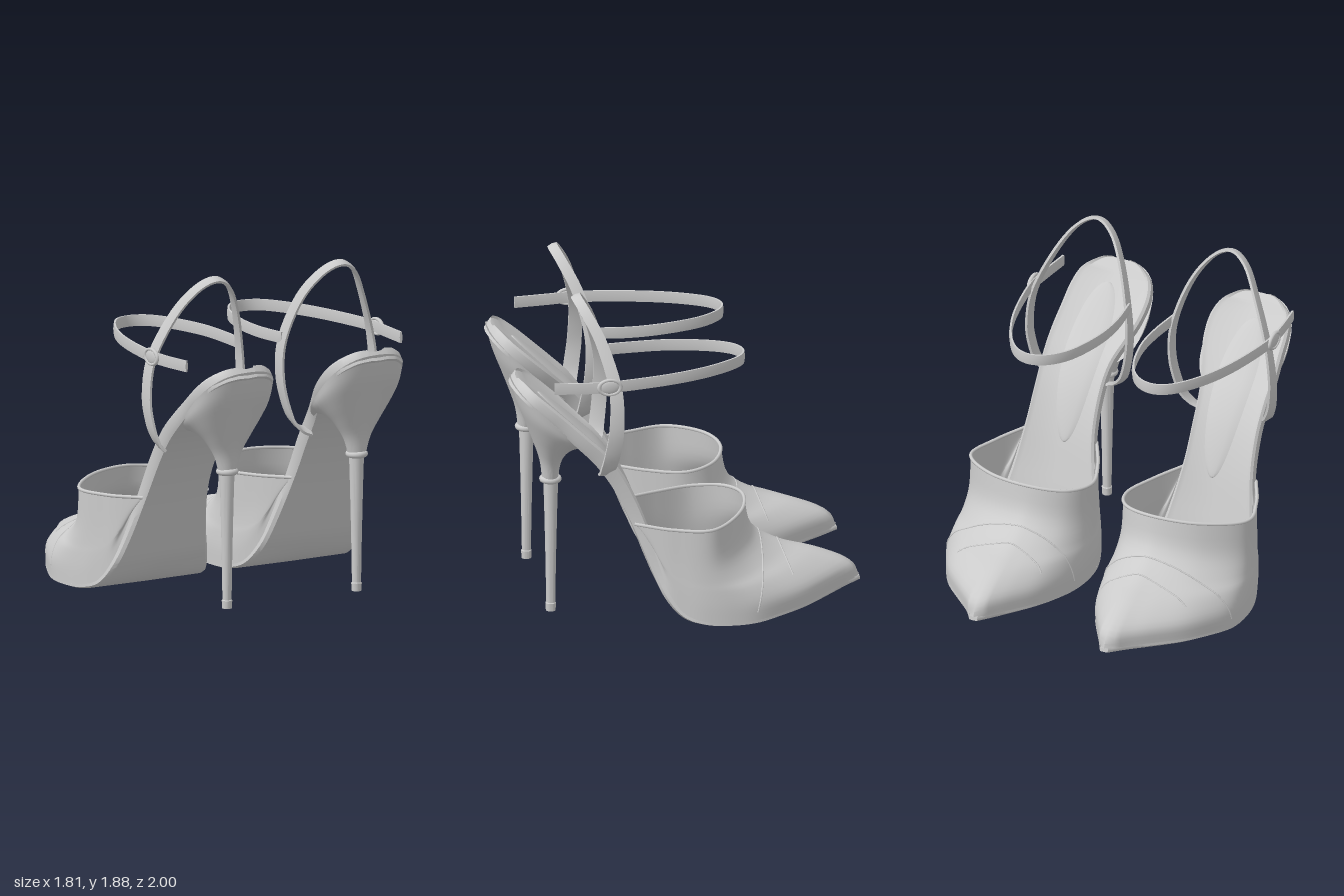
import * as THREE from 'three';
import { toCreasedNormals } from 'three/addons/utils/BufferGeometryUtils.js';

const V = (x, y, z) => new THREE.Vector3(x, y, z);
const mat = new THREE.MeshStandardMaterial({ color: 0xcccccc, side: THREE.DoubleSide });
const spline = pts => new THREE.CatmullRomCurve3(pts.map(p => V(...p)), false, 'catmullrom', 0.5);
const lerp = THREE.MathUtils.lerp;

function part(name, geo, parent) {
  const m = new THREE.Mesh(geo, mat);
  m.name = name;
  parent.add(m);
  return m;
}

// Skin a list of cross-sections; closed rings are capped at both ends
function loft(rings, closed = true, crease = 0.7) {
  const n = rings[0].length, pos = [], idx = [];
  rings.forEach(r => r.forEach(p => pos.push(p.x, p.y, p.z)));
  for (let i = 0; i < rings.length - 1; i++)
    for (let j = 0; j < (closed ? n : n - 1); j++) {
      const a = i * n + j, b = i * n + (j + 1) % n;
      idx.push(a, b, a + n, b, b + n, a + n);
    }
  if (closed) {
    const e = (rings.length - 1) * n;
    for (let j = 1; j < n - 1; j++) idx.push(0, j + 1, j, e, e + j, e + j + 1);
  }
  const g = new THREE.BufferGeometry();
  g.setAttribute('position', new THREE.Float32BufferAttribute(pos, 3));
  g.setIndex(idx);
  return toCreasedNormals(g, crease);
}

// Sole stations, toe to heel: z, underside y, inner x, outer x, thickness
const stations = [
  [-1, 0.085, 0.385, 0.435, 0.025], [-0.9, 0.07, 0.33, 0.505, 0.028], [-0.8, 0.06, 0.27, 0.6, 0.03],
  [-0.65, 0.045, 0.185, 0.735, 0.03], [-0.5, 0.03, 0.13, 0.825, 0.03], [-0.35, 0.015, 0.095, 0.89, 0.03],
  [-0.2, 0.01, 0.08, 0.905, 0.03], [-0.05, 0.018, 0.09, 0.89, 0.03], [0.08, 0.06, 0.13, 0.85, 0.035],
  [0.18, 0.18, 0.18, 0.81, 0.045], [0.25, 0.35, 0.23, 0.76, 0.06], [0.35, 0.6, 0.28, 0.715, 0.08],
  [0.45, 0.8, 0.29, 0.7, 0.09], [0.55, 0.945, 0.28, 0.7, 0.09], [0.65, 1.05, 0.24, 0.7, 0.085],
  [0.75, 1.15, 0.2, 0.69, 0.08], [0.85, 1.24, 0.19, 0.68, 0.08], [0.93, 1.31, 0.22, 0.65, 0.078],
  [0.98, 1.355, 0.29, 0.58, 0.075], [1, 1.37, 0.38, 0.5, 0.07]];
const inner = spline(stations.map(s => [s[2], s[1], s[0]]));
const outer = spline(stations.map(s => [s[3], s[1], s[0]]));
const thick = spline(stations.map(s => [s[4], 0, 0]));

function soleAtT(t) {
  const l = inner.getPoint(t), r = outer.getPoint(t);
  const a = inner.getPoint(Math.max(0, t - 0.01)), b = inner.getPoint(Math.min(1, t + 0.01));
  const up = V(0, b.z - a.z, a.y - b.y).normalize();
  return { l, r, up, th: thick.getPoint(t).x };
}
function soleAtZ(z) {
  let lo = 0, hi = 1;
  for (let i = 0; i < 24; i++) {
    const m = (lo + hi) / 2;
    if (inner.getPoint(m).z < z) lo = m; else hi = m;
  }
  return soleAtT((lo + hi) / 2);
}
// Point on the sole: f across, h through the thickness
const onSole = (s, f, h) => s.l.clone().lerp(s.r, f).addScaledVector(s.up, s.th * h);

// Upper: horseshoe from the sole edge (s = 0) to the collar (s = 1), rounding off the toe as it rises
const collar = spline([[0.285, 0.59, 0.33], [0.175, 0.58, 0.12], [0.11, 0.58, -0.09], [0.19, 0.6, -0.26],
  [0.4, 0.62, -0.335], [0.66, 0.61, -0.28], [0.865, 0.585, -0.1], [0.82, 0.58, 0.12], [0.715, 0.59, 0.33]]);
const rise = spline([[0, 0, 0], [0.01, 0.18, 0], [0.265, 0.34, 0], [0.58, 0.45, 0], [0.9, 0.66, 0], [1, 1, 0]]);
const zAlong = a => -1 + 1.7 * a - 0.37 * a * a;
function upperPoint(u, s) {
  const a = Math.abs(2 * u - 1);
  const base = onSole(soleAtZ(zAlong(a)), u < 0.5 ? 0 : u > 0.5 ? 1 : 0.5, 0.8);
  base.z += zAlong(Math.hypot(a, 0.15 * s)) - zAlong(a);
  const top = collar.getPoint(u), k = rise.getPoint(s);
  return V(lerp(base.x, top.x, k.x), lerp(base.y, top.y, k.y), lerp(base.z, top.z, k.x));
}
// Seam where the upper meets a tilted plane across the toe
function seam(z0, tilt) {
  const pts = [], ahead = p => p.z - z0 - tilt * (p.y - 0.35) < 0;
  for (let i = 0; i <= 240; i++) {
    const u = i / 240;
    if (!ahead(upperPoint(u, 0))) continue;
    let lo = 0, hi = 1;
    for (let k = 0; k < 14; k++) {
      const m = (lo + hi) / 2;
      if (ahead(upperPoint(u, m))) lo = m; else hi = m;
    }
    pts.push(upperPoint(u, lo));
  }
  return new THREE.TubeGeometry(new THREE.CatmullRomCurve3(pts), 80, 0.005, 6);
}

// Flat strap swept along a curve, its width facing dir and changing from end to middle
function strap(points, dir, endWidth, midWidth, thickness) {
  const c = spline(points), rings = [];
  for (let i = 0; i <= 72; i++) {
    const p = c.getPoint(i / 72), t = c.getTangent(i / 72);
    const w = dir.clone().addScaledVector(t, -dir.dot(t)).normalize();
    const n = t.clone().cross(w), width = lerp(endWidth, midWidth, Math.sin(Math.PI * i / 72) ** 3);
    rings.push([[-1, -0.6], [0, -1], [1, -0.6], [1, 0.6], [0, 1], [-1, 0.6]].map(([a, b]) =>
      p.clone().addScaledVector(w, a * width / 2).addScaledVector(n, b * thickness / 2)));
  }
  return loft(rings);
}

function makeShoe(name) {
  const shoe = new THREE.Group();
  shoe.name = name;

  // Arched sole with softened edges and a slightly sunken insole
  const section = [[0, 0.3], [0.03, 0], [0.5, -0.05], [0.97, 0], [1, 0.3], [1, 0.85], [0.97, 1],
    [0.92, 0.85], [0.5, 0.78], [0.08, 0.85], [0.03, 1], [0, 0.85]];
  const soleRings = [];
  for (let i = 0; i <= 100; i++) {
    const s = soleAtT(i / 100);
    soleRings.push(section.map(([f, h]) => onSole(s, f, h)));
  }
  part('sole', loft(soleRings, true, 0.6), shoe);

  // Oval cushion on the heel end of the insole
  const padRings = [];
  for (let i = 0; i <= 32; i++) {
    const a = Math.PI * i / 32, s = soleAtZ(0.61 - 0.28 * Math.cos(a));
    const hw = 0.115 * Math.sin(a), ring = [];
    for (let j = 0; j <= 8; j++) {
      const x = 0.465 + hw * (j / 4 - 1), dome = Math.sin(Math.PI * j / 8) * Math.sin(a);
      ring.push(onSole(s, (x - s.l.x) / (s.r.x - s.l.x), 0.82 + 0.16 * Math.sqrt(Math.max(0, dome))));
    }
    padRings.push(ring);
  }
  part('heelPad', loft(padRings, false), shoe);

  // Pointed closed upper with bound collar and seams
  const upper = [];
  for (let i = 0; i <= 20; i++)
    upper.push(Array.from({ length: 101 }, (_, j) => upperPoint(j / 100, i / 20)));
  part('upper', loft(upper, false, 0.9), shoe);
  part('collarBinding', new THREE.TubeGeometry(collar, 80, 0.01, 8), shoe);
  part('toeCapSeam', seam(-0.53, 0.37), shoe);
  part('vampSeam', seam(-0.41, -0.25), shoe);

  // Flared heel block: back z, y; front z, y; half width
  const flare = [[0.995, 1.4, 0.54, 0.96, 0.252], [0.96, 1.26, 0.585, 0.99, 0.238], [0.91, 1.13, 0.64, 0.985, 0.195],
    [0.865, 1.01, 0.69, 0.94, 0.135], [0.83, 0.9, 0.716, 0.87, 0.082], [0.815, 0.78, 0.725, 0.78, 0.05]];
  const back = spline(flare.map(f => [f[4], f[1], f[0]])), front = spline(flare.map(f => [0, f[3], f[2]]));
  const flareRings = [];
  for (let i = 0; i <= 20; i++) {
    const b = back.getPoint(i / 20), f = front.getPoint(i / 20), e = lerp(0.78, 1, i / 20);
    const round = v => Math.sign(v) * Math.abs(v) ** e;
    flareRings.push(Array.from({ length: 40 }, (_, j) => {
      const a = j * Math.PI / 20, k = (1 + round(Math.cos(a))) / 2;
      return V(0.435 + b.x * round(Math.sin(a)), lerp(f.y, b.y, k), lerp(f.z, b.z, k));
    }));
  }
  part('heelBlock', loft(flareRings), shoe);

  // Stiletto shaft with tip and collar ring
  const shaft = [[0, 0], [0.028, 0], [0.03, 0.045], [0.026, 0.05], [0.03, 0.3], [0.037, 0.6], [0.043, 0.8], [0, 0.8]];
  const heel = part('stilettoHeel', toCreasedNormals(
    new THREE.LatheGeometry(shaft.map(p => new THREE.Vector2(...p)), 20), 0.6), shoe);
  heel.position.set(0.435, 0, 0.767);
  const ring = part('heelRing', new THREE.TorusGeometry(0.045, 0.019, 10, 28), shoe);
  ring.rotation.x = Math.PI / 2;
  ring.position.set(0.435, 0.79, 0.769);

  // Slanted loop behind the ankle, rooted in the waist of the sole
  part('heelStrap', strap([[0.3, 0.88, 0.495], [0.23, 0.915, 0.485], [0.175, 1, 0.465], [0.135, 1.2, 0.44], [0.145, 1.42, 0.445],
    [0.215, 1.66, 0.51], [0.31, 1.81, 0.585], [0.42, 1.865, 0.62], [0.53, 1.81, 0.585], [0.63, 1.66, 0.51],
    [0.73, 1.42, 0.445], [0.762, 1.2, 0.44], [0.75, 1.04, 0.46], [0.72, 0.94, 0.48], [0.68, 0.89, 0.495]],
  V(0, -0.4, 1), 0.09, 0.056, 0.024), shoe);

  // Level strap around the front of the ankle with a free tail
  part('ankleStrap', strap([[0.14, 1.435, 0.45], [0.12, 1.435, 0.25], [0.13, 1.44, 0.05], [0.19, 1.445, -0.17], [0.28, 1.45, -0.3],
    [0.39, 1.45, -0.34], [0.5, 1.45, -0.285], [0.61, 1.445, -0.11], [0.69, 1.44, 0.12], [0.745, 1.435, 0.42],
    [0.74, 1.43, 0.6], [0.72, 1.43, 0.79]], V(0, 1, 0), 0.065, 0.065, 0.018), shoe);

  // Oval buckle on the outer side
  const buckle = new THREE.Group();
  buckle.name = 'buckle';
  const frame = part('buckleFrame', new THREE.TorusGeometry(0.058, 0.012, 8, 32), buckle);
  frame.scale.set(1.05, 0.75, 1);
  part('bucklePlate', new THREE.SphereGeometry(1, 24, 12), buckle).scale.set(0.056, 0.04, 0.012);
  buckle.position.set(0.756, 1.435, 0.48);
  buckle.rotation.y = Math.PI / 2;
  shoe.add(buckle);
  return shoe;
}

export function createModel() {
  const model = new THREE.Group();
  model.name = 'pairOfShoes';
  const left = makeShoe('leftShoe'), right = makeShoe('rightShoe');
  right.scale.x = -1;
  model.add(left, right);
  return model;
}
